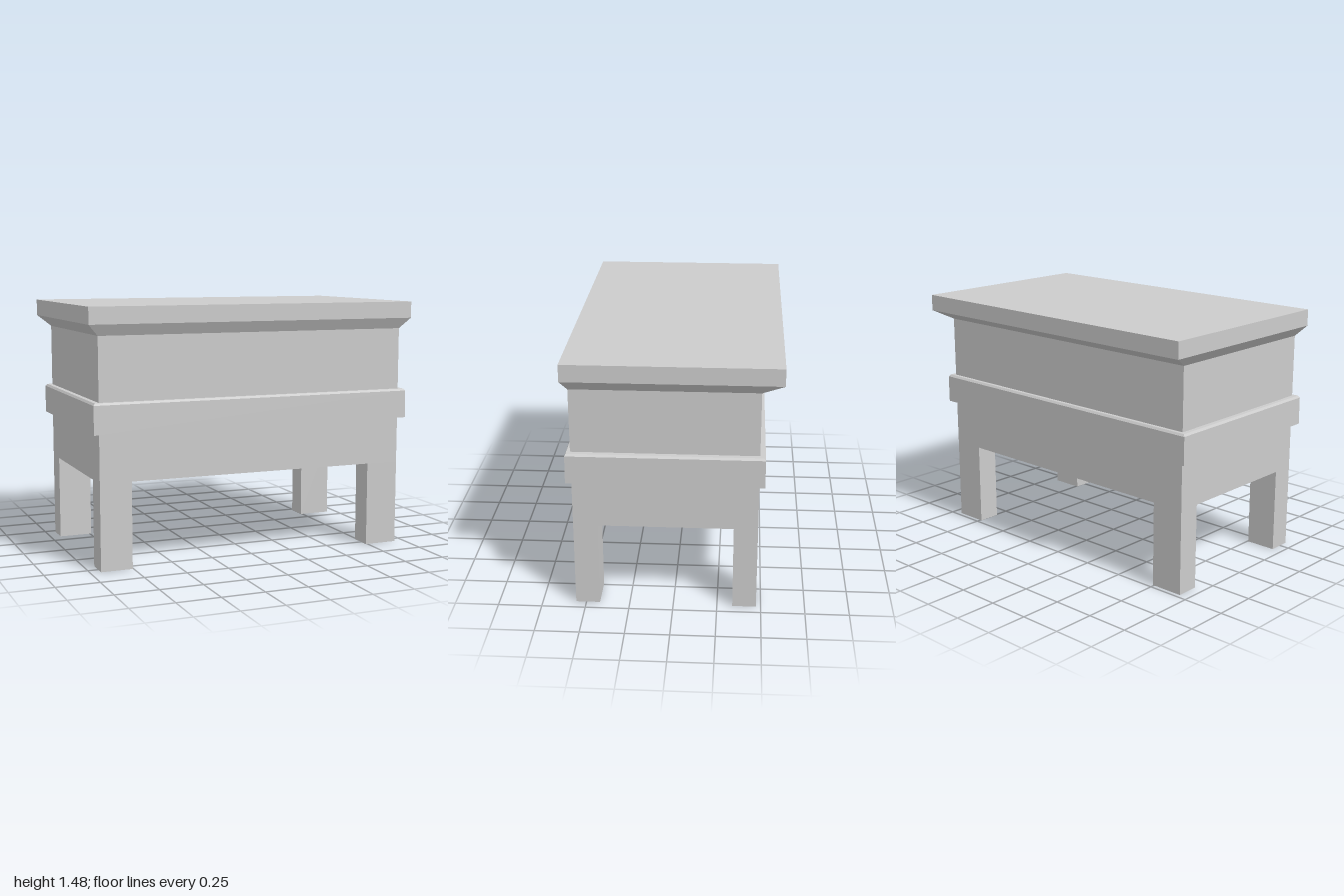
import * as THREE from 'three';

// Closed solid through stacked rectangles, each [y, x0, x1, z0, z1], bottom to top
function stack(name, sections) {
  const pos = [];
  const rings = sections.map(([y, x0, x1, z0, z1]) =>
    [[x0, y, z1], [x1, y, z1], [x1, y, z0], [x0, y, z0]]);
  const quad = (a, b, c, d) => pos.push(...a, ...b, ...c, ...a, ...c, ...d);
  for (let i = 0; i < rings.length - 1; i++) {
    const lo = rings[i], hi = rings[i + 1];
    for (let k = 0; k < 4; k++) {
      const n = (k + 1) % 4;
      quad(lo[k], lo[n], hi[n], hi[k]);
    }
  }
  const [a, b, c, d] = rings[0];
  quad(d, c, b, a);
  quad(...rings[rings.length - 1]);
  const geo = new THREE.BufferGeometry();
  geo.setAttribute('position', new THREE.Float32BufferAttribute(pos, 3));
  geo.computeVertexNormals();
  const mesh = new THREE.Mesh(geo, new THREE.MeshStandardMaterial({ color: 0xcccccc, flatShading: true }));
  mesh.name = name;
  return mesh;
}

export function createModel() {
  const group = new THREE.Group();
  group.name = 'chestOnLegs';
  const X = 0.94, BACK = -0.473, FRONT = 0.559, FLOOR = 0.5;

  // Box body, set slightly forward of the lid's centre
  group.add(stack('body', [
    [FLOOR, -X, X, BACK, FRONT],
    [1.315, -X, X, BACK, FRONT],
  ]));

  // Square corner legs, flush with the body
  const legs = [
    ['frontRightLeg', -X, -0.755, 0.422, FRONT],
    ['frontLeftLeg', 0.74, X, 0.422, FRONT],
    ['backRightLeg', -X, -0.742, BACK, -0.338],
    ['backLeftLeg', 0.74, X, BACK, -0.338],
  ];
  for (const [name, ...rect] of legs) {
    group.add(stack(name, [[0, ...rect], [FLOOR, ...rect]]));
  }

  // Moulding band around the middle with a small top chamfer
  group.add(stack('band', [
    [0.775, -0.977, 0.977, -0.504, 0.588],
    [0.938, -0.977, 0.977, -0.504, 0.586],
    [0.95, -0.967, 0.967, -0.494, 0.58],
  ]));

  // Lid slab with a sloped underside reaching in to the body
  group.add(stack('lid', [
    [1.315, -X, X, BACK, FRONT],
    [1.378, -1, 1, -0.593, 0.595],
    [1.475, -1, 1, -0.593, 0.595],
  ]));

  return group;
}
